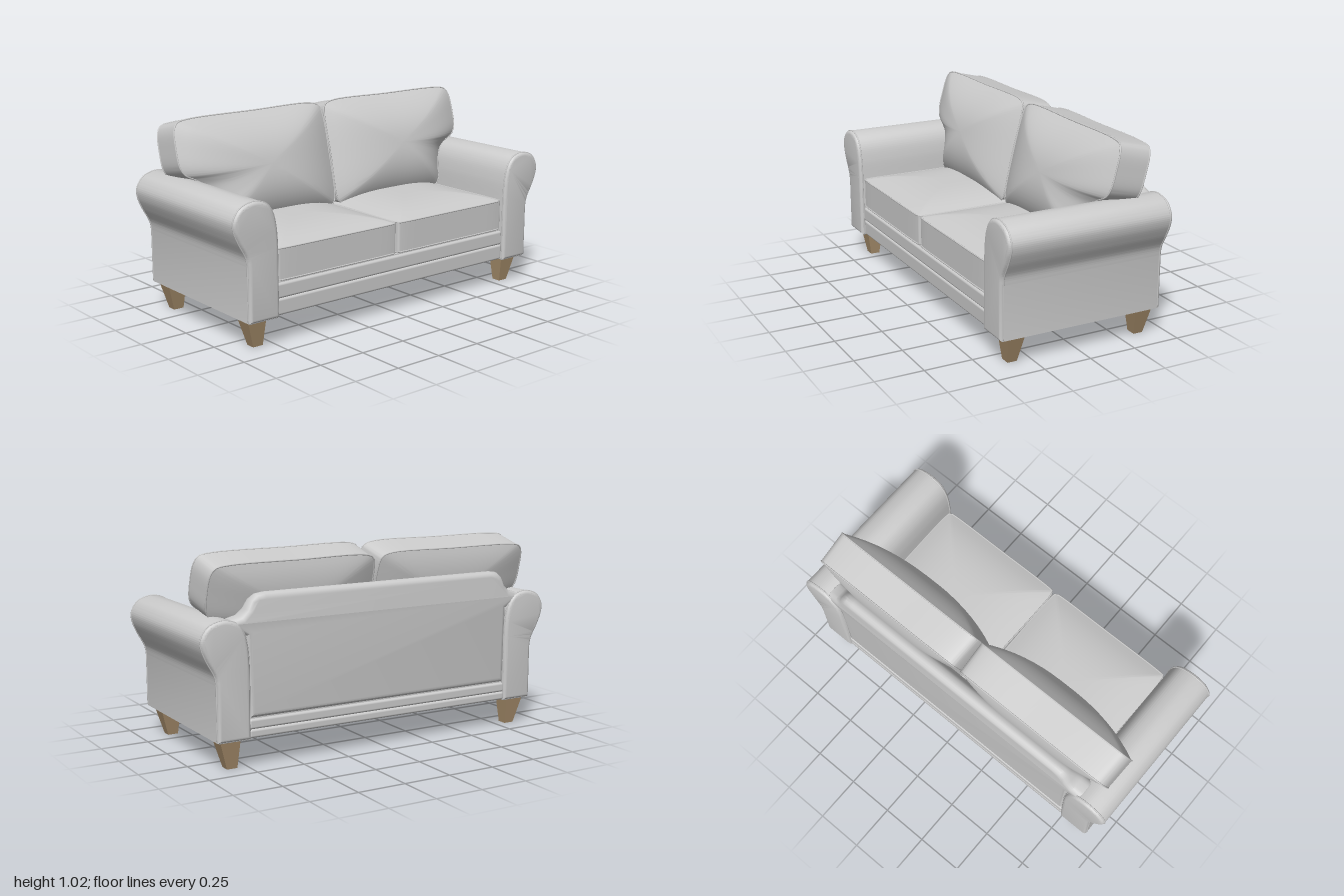
import * as THREE from 'three';
import { toCreasedNormals, mergeVertices } from 'three/addons/utils/BufferGeometryUtils.js';
import { RoundedBoxGeometry } from 'three/addons/geometries/RoundedBoxGeometry.js';

const fabric = new THREE.MeshStandardMaterial({ color: 0xcccccc });
const wood = new THREE.MeshStandardMaterial({ color: 0xa58c6a });

const v2 = (list) => list.map(([x, y]) => new THREE.Vector2(x, y));
const mirrored = (pts) => pts.map((p) => new THREE.Vector2(-p.x, p.y)).reverse();

function addMesh(parent, name, geometry, material = fabric) {
  const mesh = new THREE.Mesh(geometry, material);
  mesh.name = name;
  parent.add(mesh);
  return mesh;
}

// Smooth closed outline through a few points
function smoothOutline(list, count) {
  const curve = new THREE.CatmullRomCurve3(list.map(([x, y]) => new THREE.Vector3(x, y, 0)), true);
  return curve.getPoints(count).slice(0, -1).map((p) => new THREE.Vector2(p.x, p.y));
}

// Thin cord sewn along a closed seam
function piping(points, radius = 0.005) {
  const curve = new THREE.CatmullRomCurve3(points, true);
  return new THREE.TubeGeometry(curve, 120, radius, 6, true);
}

// Stuffed cushion: outline (u, v), a border of given depth, a dome on each face.
// place(u, v, w) puts a point in the model; w = 0 is the front seam.
function addCushion(parent, name, outline, o) {
  const group = new THREE.Group();
  group.name = name;
  parent.add(group);
  const steps = 9, n = outline.length, rings = [];
  for (let k = 0; k <= steps; k++) {
    const t = Math.max(k / steps, 0.001);
    rings.push([t * o.backScale, -o.depth - o.back * (1 - t ** o.power)]);
  }
  for (let k = steps; k >= 0; k--) {
    const t = Math.max(k / steps, 0.001);
    rings.push([t, o.front * (1 - t ** o.power)]);
  }
  const at = (p, [t, w]) => o.place(
    o.center.x + (p.x - o.center.x) * t, o.center.y + (p.y - o.center.y) * t, w);
  const pos = [], idx = [];
  rings.forEach((ring, k) => outline.forEach((p, i) => {
    pos.push(...at(p, ring).toArray());
    if (k === rings.length - 1) return;
    const j = (i + 1) % n, a = k * n + i, b = k * n + j;
    idx.push(a, b, b + n, a, b + n, a + n);
  }));
  const geo = new THREE.BufferGeometry();
  geo.setAttribute('position', new THREE.Float32BufferAttribute(pos, 3));
  geo.setIndex(idx);
  addMesh(group, 'cushionBody', toCreasedNormals(geo, 0.65));
  addMesh(group, 'frontSeam', piping(outline.map((p) => at(p, rings[steps + 1])), 0.004));
  addMesh(group, 'backSeam', piping(outline.map((p) => at(p, rings[steps])), 0.004));
}

// Extruded profile with rounded ends, from z0 to z1
function bevelled(shape, z0, z1, size, thick) {
  const geo = new THREE.ExtrudeGeometry(shape, {
    depth: z1 - z0 - 2 * thick, curveSegments: 32, bevelEnabled: true,
    bevelSize: size, bevelOffset: -size, bevelThickness: thick, bevelSegments: 4,
  });
  geo.translate(0, 0, z0 + thick);
  return toCreasedNormals(geo, 0.6);
}

// Rolled arm with piping round its front and back panels
function addArm(parent, side) {
  const group = new THREE.Group();
  group.name = side > 0 ? 'leftArm' : 'rightArm';
  parent.add(group);
  const shape = new THREE.Shape();
  shape.moveTo(side * 0.752, 0.145);
  shape.lineTo(side * 0.922, 0.145);
  shape.lineTo(side * 0.922, 0.42);
  shape.splineThru(v2([[0.932, 0.47], [0.97, 0.54], [0.995, 0.6], [0.997, 0.65], [0.965, 0.7],
    [0.915, 0.722], [0.865, 0.725], [0.81, 0.705], [0.775, 0.655], [0.758, 0.58], [0.752, 0.49]])
    .map((p) => new THREE.Vector2(p.x * side, p.y)));
  shape.closePath();
  addMesh(group, 'armBody', bevelled(shape, -0.445, 0.445, 0.018, 0.018));
  const rim = shape.getSpacedPoints(100).slice(0, -1);
  for (const z of [0.428, -0.428]) {
    addMesh(group, 'armPiping', piping(rim.map((p) => new THREE.Vector3(p.x, p.y, z)), 0.004));
  }
}

// Square tapered leg, straighter on its inner side
function addLeg(parent, side, z) {
  const geo = new THREE.BoxGeometry(1, 0.15, 1);
  const p = geo.attributes.position;
  for (let i = 0; i < p.count; i++) {
    const top = p.getY(i) > 0, out = p.getX(i) * side > 0;
    const x = top ? (out ? 0.902 : 0.793) : (out ? 0.858 : 0.803);
    p.setXYZ(i, side * x, top ? 0.15 : 0, z + Math.sign(p.getZ(i)) * (top ? 0.047 : 0.025));
  }
  geo.computeVertexNormals();
  addMesh(parent, 'leg', geo, wood);
}

export function createModel() {
  const sofa = new THREE.Group();
  sofa.name = 'sofa';

  // Base frame with padded rails front and back
  const frame = addMesh(sofa, 'baseFrame', new THREE.BoxGeometry(1.51, 0.165, 0.83));
  frame.position.set(0, 0.2285, -0.005);
  const rails = [
    ['frontLowerRail', 0.147, 0.23, 0.405], ['frontUpperRail', 0.23, 0.306, 0.405],
    ['backLowerRail', 0.147, 0.19, -0.415], ['backUpperRail', 0.19, 0.24, -0.415],
  ];
  for (const [name, y0, y1, z] of rails) {
    const rail = addMesh(sofa, name, new RoundedBoxGeometry(1.51, y1 - y0, 0.04, 3, 0.012));
    rail.position.set(0, (y0 + y1) / 2, z);
  }

  // Back rest panel with sloped shoulders running onto the arms
  const shoulder = v2([[0.755, 0.24], [0.765, 0.64], [0.85, 0.69], [0.835, 0.722], [0.785, 0.735],
    [0.755, 0.765], [0.735, 0.81], [0.705, 0.835], [0.66, 0.842]]);
  const backShape = new THREE.Shape([...shoulder, ...mirrored(shoulder)]);
  const backPanel = bevelled(backShape, -0.435, -0.31, 0.03, 0.035);
  const bp = backPanel.attributes.position;
  for (let i = 0; i < bp.count; i++) {
    // Thin the panel toward its top edge
    const rise = Math.max(0, bp.getY(i) - 0.68);
    if (bp.getZ(i) > -0.39) bp.setZ(i, bp.getZ(i) - rise * 0.35);
  }
  backPanel.deleteAttribute('normal');
  backPanel.deleteAttribute('uv');
  addMesh(sofa, 'backPanel', toCreasedNormals(mergeVertices(backPanel), 0.6));

  // Cushion outlines for the +x half
  const seatOutline = smoothOutline([[0.006, -0.4], [0.012, -0.418], [0.03, -0.422], [0.37, -0.424],
    [0.72, -0.422], [0.74, -0.418], [0.746, -0.4], [0.746, 0], [0.746, 0.3], [0.73, 0.32],
    [0.37, 0.32], [0.02, 0.32], [0.006, 0.3], [0.006, 0]], 84);
  const backOutline = smoothOutline([[0.012, 0.5], [0.03, 0.485], [0.37, 0.48], [0.72, 0.485],
    [0.745, 0.51], [0.757, 0.6], [0.785, 0.68], [0.84, 0.722], [0.895, 0.75], [0.92, 0.79],
    [0.925, 0.88], [0.917, 0.965], [0.895, 1.0], [0.84, 1.012], [0.45, 1.016], [0.06, 1.013],
    [0.02, 0.995], [0.007, 0.95], [0.005, 0.75]], 110);

  for (const side of [1, -1]) {
    const label = side > 0 ? 'left' : 'right';
    const flip = (pts) => (side > 0 ? pts : mirrored(pts));
    addArm(sofa, side);
    for (const z of [0.345, -0.365]) addLeg(sofa, side, z);

    addCushion(sofa, label + 'SeatCushion', flip(seatOutline), {
      center: new THREE.Vector2(side * 0.376, -0.05), depth: 0.155, front: 0.05, back: 0.005,
      power: 3, backScale: 1, place: (u, v, w) => new THREE.Vector3(u, 0.475 + w, -v),
    });
    // Back cushions lean rearward
    addCushion(sofa, label + 'BackCushion', flip(backOutline), {
      center: new THREE.Vector2(side * 0.44, 0.77), depth: 0.17, front: 0.1, back: 0.055,
      power: 2.4, backScale: 0.985,
      place: (u, v, w) => {
        const drop = 1.01 - v;
        return new THREE.Vector3(u, v + 0.22 * Math.min(w, 0), -0.2 + 0.31 * drop - 0.12 * drop * drop + w);
      },
    });
  }
  return sofa;
}
